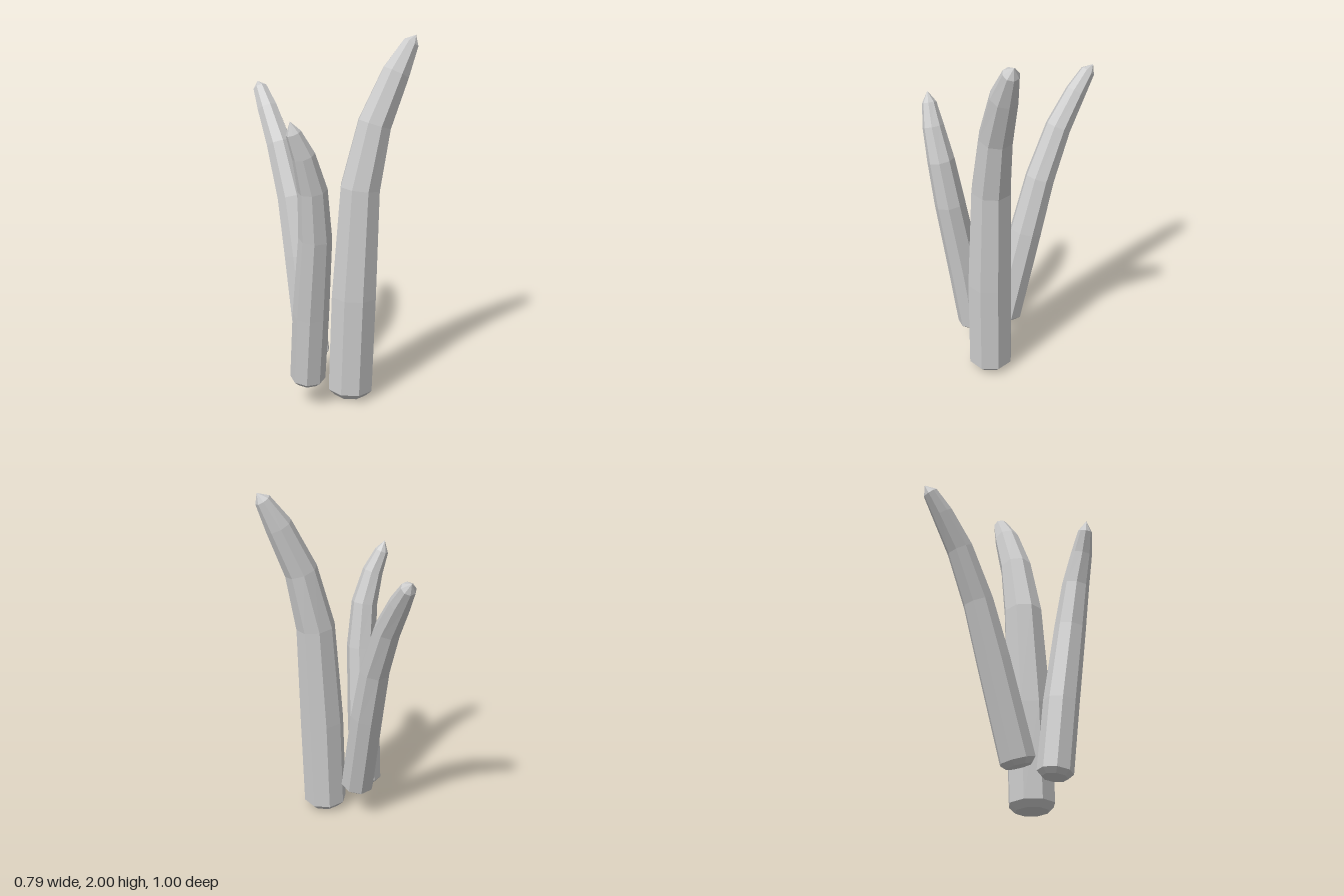
import * as THREE from 'three';

const SIDES = 8;

// Each row is [x, y, z, radius]; the rings stand square to the stalk's curve.
function stalk(name, rows, tip, twist) {
  // rounded foot below the first ring
  const first = new THREE.Vector3(...rows[0]);
  const down = first.clone().sub(new THREE.Vector3(...rows[1])).normalize();
  const r0 = rows[0][3];
  const low = first.clone().addScaledVector(down, r0 * 0.28);
  const foot = first.clone().addScaledVector(down, r0 * 0.36);
  const rings = [[...low.toArray(), r0 * 0.72], ...rows];
  const centres = rings.map(r => new THREE.Vector3(r[0], r[1], r[2]));
  const end = new THREE.Vector3(...tip);

  const pos = [];
  const index = [];
  rings.forEach((ring, i) => {
    const before = i > 1 ? centres[i - 1] : centres[0];
    const after = i === 0 ? centres[2] : centres[i + 1] || end;
    const t = after.clone().sub(before).normalize();
    const u = new THREE.Vector3(1, 0, 0).projectOnPlane(t).normalize();
    const v = t.clone().cross(u);
    for (let j = 0; j < SIDES; j++) {
      const a = (j / SIDES) * Math.PI * 2 + twist;
      const p = centres[i].clone()
        .addScaledVector(u, Math.cos(a) * ring[3])
        .addScaledVector(v, Math.sin(a) * ring[3]);
      pos.push(p.x, p.y, p.z);
    }
  });
  const footId = pos.length / 3;
  pos.push(...foot.toArray(), ...end.toArray());

  const last = (rings.length - 1) * SIDES;
  for (let j = 0; j < SIDES; j++) {
    const k = (j + 1) % SIDES;
    for (let i = 0; i < rings.length - 1; i++) {
      const a = i * SIDES;
      const b = a + SIDES;
      index.push(a + j, a + k, b + k, a + j, b + k, b + j);
    }
    index.push(footId, k, j); // foot cap
    index.push(footId + 1, last + j, last + k); // pointed tip
  }

  const geometry = new THREE.BufferGeometry();
  geometry.setAttribute('position', new THREE.Float32BufferAttribute(pos, 3));
  geometry.setIndex(index);
  geometry.computeVertexNormals();
  const mesh = new THREE.Mesh(geometry,
    new THREE.MeshStandardMaterial({ color: 0xcccccc, flatShading: true }));
  mesh.name = name;
  return mesh;
}

export function createModel() {
  const group = new THREE.Group();
  group.name = 'stalkCluster';

  // tall stalk, bending to +x
  group.add(stalk('tallStalk', [
    [0.017, 0.05, 0.26, 0.13],
    [0.035, 0.6, 0.26, 0.13],
    [0.07, 1.205, 0.253, 0.113],
    [0.15, 1.545, 0.25, 0.095],
    [0.27, 1.81, 0.247, 0.077],
    [0.355, 1.96, 0.243, 0.045],
  ], [0.385, 2.0, 0.24], 0));

  // short stalk, leaning forward and curling to -x
  group.add(stalk('shortStalk', [
    [-0.24, 0.16, 0.27, 0.097],
    [-0.238, 0.55, 0.32, 0.098],
    [-0.237, 1.0, 0.392, 0.088],
    [-0.262, 1.265, 0.425, 0.077],
    [-0.315, 1.45, 0.443, 0.06],
    [-0.367, 1.57, 0.443, 0.04],
  ], [-0.385, 1.63, 0.445], Math.PI / SIDES));

  // rear stalk, leaning and curling backward
  group.add(stalk('rearStalk', [
    [-0.15, 0.225, 0.1, 0.1],
    [-0.166, 0.76, -0.045, 0.096],
    [-0.182, 1.08, -0.14, 0.087],
    [-0.214, 1.365, -0.265, 0.075],
    [-0.243, 1.55, -0.385, 0.06],
    [-0.26, 1.655, -0.465, 0.042],
  ], [-0.265, 1.69, -0.5], 0));

  return group;
}
